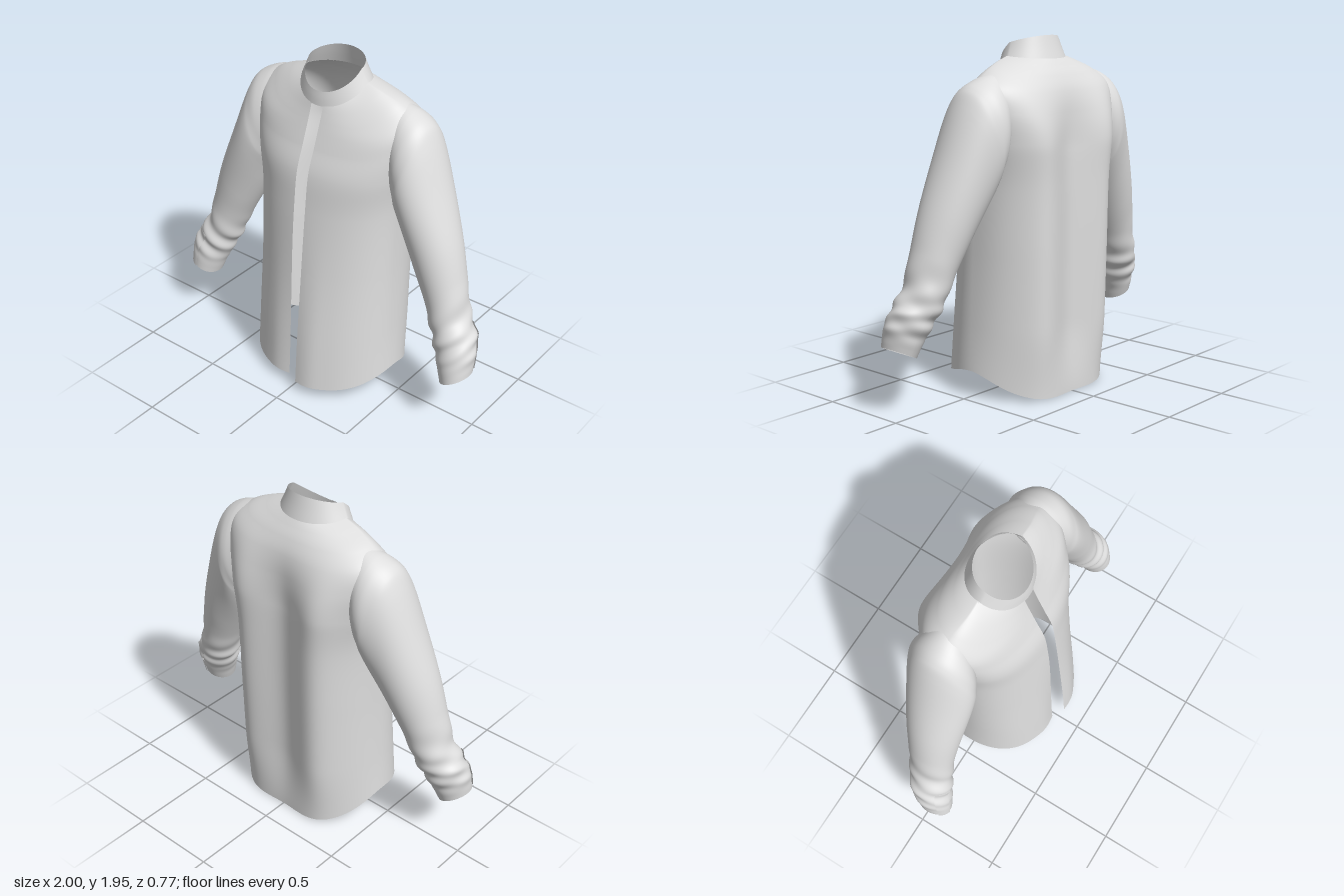
import * as THREE from 'three';
import { ParametricGeometry } from 'three/addons/geometries/ParametricGeometry.js';

const fabric = new THREE.MeshStandardMaterial({ color: 0xdedede, side: THREE.DoubleSide });
fabric.name = 'light grey fabric';

// Smooth interpolation through the rows of a small table, v from 0 to 1
function sample(rows, v) {
  const n = rows.length - 1;
  const i = Math.min(Math.floor(v * n), n - 1);
  const t = v * n - i;
  const at = (k) => rows[Math.max(0, Math.min(n, k))];
  return rows[i].map((b, k) => {
    const a = at(i - 1)[k], c = at(i + 1)[k], d = at(i + 2)[k];
    return b + 0.5 * t * (c - a + t * (2 * a - 5 * b + 4 * c - d + t * (3 * (b - c) + d - a)));
  });
}

const smooth = (x, a, b) => THREE.MathUtils.smoothstep(x, a, b);
const bump = (x, centre, width) => Math.exp(-(((x - centre) / width) ** 2));

function surface(name, fn, nu, nv) {
  const mesh = new THREE.Mesh(new ParametricGeometry(fn, nu, nv), fabric);
  mesh.name = name;
  return mesh;
}

// Point on a ring whose height differs at the side, front and back; tilt 1 slopes
// it evenly, tilt 0 eases it; the square values widen the front and back corners
function ringPoint([ys, yf, yb, w, zf, zb, zc, tilt, squareF, squareB], t, p) {
  const c = Math.cos(t), s = Math.sin(t), ac = Math.abs(c);
  const k = THREE.MathUtils.lerp(ac * ac * (3 - 2 * ac), ac, tilt);
  const g = 1 + (c > 0 ? squareF : squareB) * (1 / (Math.abs(s) ** 2.5 + ac ** 2.5) ** 0.4 - 1);
  p.set(w * s * g, ys + ((c > 0 ? yf : yb) - ys) * k, zc + ac * g * ((c > 0 ? zf : zb) - zc));
  return p;
}

// Rings: side y, front y, back y, half width, front z, back z, centre z, tilt, front and back square
const COLLAR = [
  [1.838, 1.718, 1.826, 0.206, 0.117, -0.218, -0.05, 1, 0, 0],
  [1.876, 1.757, 1.889, 0.186, 0.113, -0.197, -0.045, 1, 0, 0],
  [1.912, 1.795, 1.95, 0.168, 0.107, -0.178, -0.04, 1, 0, 0],
];

const BODY = [
  [0.15, 0.063, 0.003, 0.45, 0.388, -0.375, 0, 0, 0, 0.3],
  [0.4, 0.36, 0.34, 0.438, 0.362, -0.378, 0, 0, 0, 0.7],
  [0.8, 0.78, 0.78, 0.43, 0.315, -0.382, -0.01, 0, 0, 1],
  [1.17, 1.15, 1.17, 0.438, 0.272, -0.383, -0.03, 0, 0.2, 1],
  [1.4, 1.36, 1.4, 0.47, 0.243, -0.378, -0.06, 0, 0.6, 1.2],
  [1.58, 1.5, 1.55, 0.495, 0.192, -0.356, -0.09, 0, 0.8, 1.3],
  [1.695, 1.58, 1.66, 0.485, 0.162, -0.323, -0.1, 0, 0.8, 1.2],
  [1.765, 1.64, 1.74, 0.4, 0.14, -0.28, -0.085, 0, 0.6, 0.9],
  [1.812, 1.685, 1.795, 0.295, 0.125, -0.24, -0.06, 0.5, 0.2, 0.4],
  [1.843, 1.726, 1.83, 0.2, 0.113, -0.212, -0.05, 1, 0, 0],
];

// Sleeve rings: outer x, y; inner x, y; front z, back z
const SLEEVE = [
  [0.37, 1.765, 0.4, 1.27, 0.03, -0.255],
  [0.47, 1.738, 0.425, 1.21, 0.08, -0.295],
  [0.55, 1.69, 0.44, 1.17, 0.102, -0.3],
  [0.607, 1.598, 0.46, 1.12, 0.11, -0.29],
  [0.7, 1.36, 0.505, 1.02, 0.11, -0.255],
  [0.8, 1.09, 0.58, 0.87, 0.105, -0.21],
  [0.862, 0.87, 0.65, 0.73, 0.1, -0.17],
  [0.9, 0.71, 0.7, 0.61, 0.11, -0.148],
  [0.95, 0.615, 0.735, 0.53, 0.125, -0.125],
  [0.985, 0.55, 0.765, 0.46, 0.14, -0.1],
  [0.995, 0.47, 0.8, 0.385, 0.155, -0.07],
  [0.997, 0.385, 0.83, 0.305, 0.162, -0.04],
];

// Torso shell, open down the front, with soft vertical folds
function bodyPoint(u, v, p) {
  const row = sample(BODY, v);
  const gap = Math.asin(0.038 / row[3]);
  const t = gap + u * (2 * Math.PI - 2 * gap);
  ringPoint(row, t, p);
  const c = Math.cos(t), x = Math.abs(p.x);
  if (c < 0) {
    const fade = (1 - smooth(p.y, 1.35, 1.78)) * (0.5 + 0.5 * smooth(p.y, 0, 0.4));
    p.z += fade * -c * (0.05 * bump(x, 0, 0.14) - 0.05 * bump(x, 0.29, 0.12));
  } else {
    const low = 1 - smooth(p.y, 0.1, 1.2);
    p.z += low * (0.006 * bump(x, 0.14, 0.06) - 0.012 * bump(x, 0, 0.06));
    if (p.x < 0) p.z -= 0.04 * low * c ** 5;
  }
}

// Sleeve with slanting creases above the cuff and soft folds near the armpit
function sleevePoint(u, v, p, side, lift = 0) {
  const a = (side > 0 ? u : 1 - u) * 2 * Math.PI;
  const [xo, yo, xi, yi, zf, zb] = sample(SLEEVE, v);
  const c = Math.cos(a), s = Math.sin(a);
  const cuff = smooth(v, 0.5, 0.68) * (1 - smooth(v, 0.86, 0.97));
  const armpit = smooth(v, 0.12, 0.22) * (1 - smooth(v, 0.3, 0.5));
  const push = lift
    + cuff * (0.004 * Math.sin(v * 42 + 3 * Math.sin(a + 0.6)) + 0.004 * Math.sin(v * 58 - 2 * a))
    + armpit * 0.006 * Math.sin(3 * a + v * 9);
  const hx = (xo - xi) / 2, hy = (yo - yi) / 2, hz = (zf - zb) / 2;
  const k = c * (1 + push / Math.hypot(hx, hy));
  p.set(side * ((xo + xi) / 2 + hx * k), (yo + yi) / 2 + hy * k, (zf + zb) / 2 + s * (hz + push));
}

export function createModel() {
  const shirt = new THREE.Group();
  shirt.name = 'shirt';
  shirt.add(surface('body', bodyPoint, 128, 90));

  // Stand collar and its front overlap
  shirt.add(surface('collar', (u, v, p) => ringPoint(sample(COLLAR, v), u * 2 * Math.PI, p), 72, 10));
  shirt.add(surface('collarOverlap', (u, v, p) => {
    ringPoint(sample(COLLAR, v), (u - 0.5) * 0.4, p);
    p.z += 0.003;
  }, 8, 6));

  // Sleeves, each with a cuff placket on the outer back
  for (const [label, side] of [['left', 1], ['right', -1]]) {
    const sleeve = new THREE.Group();
    sleeve.name = label + 'Sleeve';
    sleeve.add(surface('sleeve', (u, v, p) => sleevePoint(u, v, p, side), 64, 110));
    sleeve.add(surface('cuffPlacket', (u, v, p) => {
      const w = 0.77 + 0.12 * u;
      sleevePoint(side > 0 ? w : 1.66 - w, 0.72 + 0.28 * v, p, side, 0.007);
    }, 10, 28));
    shirt.add(sleeve);
  }
  return shirt;
}
